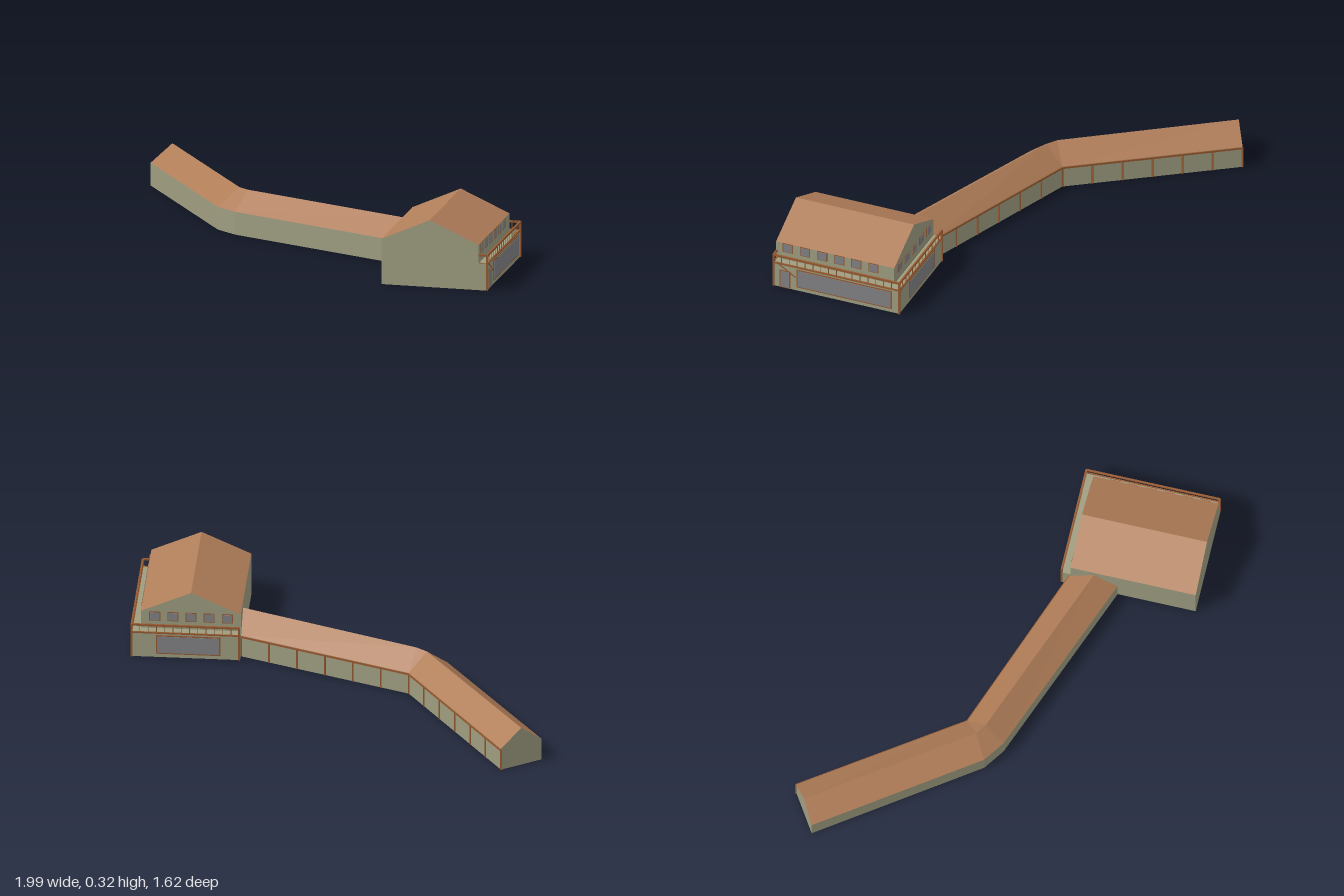
import * as THREE from 'three';

const mat = (name, color, side = THREE.FrontSide) => {
  const m = new THREE.MeshStandardMaterial({ color, side });
  m.name = name;
  return m;
};

export function createModel() {
  const root = new THREE.Group();
  root.name = 'hallWithLongWing';
  const wall = mat('wall olive', 0x9e9d80, THREE.DoubleSide);
  const roof = mat('roof brown', 0xb07d58, THREE.DoubleSide);
  const trim = mat('timber', 0x96592f);
  const glass = mat('glass grey', 0x828286);
  const paving = mat('floor grey', 0xd0d0d0, THREE.DoubleSide);

  // Flat convex polygons, each given by its corners
  function faces(name, material, polys, parent) {
    const pos = [];
    for (const p of polys)
      for (let i = 1; i < p.length - 1; i++) pos.push(...p[0], ...p[i], ...p[i + 1]);
    const g = new THREE.BufferGeometry();
    g.setAttribute('position', new THREE.Float32BufferAttribute(pos, 3));
    g.computeVertexNormals();
    const m = new THREE.Mesh(g, material);
    m.name = name;
    parent.add(m);
  }
  function box(name, material, [x0, y0, z0], [x1, y1, z1], parent) {
    const m = new THREE.Mesh(new THREE.BoxGeometry(x1 - x0, y1 - y0, z1 - z0), material);
    m.position.set((x0 + x1) / 2, (y0 + y1) / 2, (z0 + z1) / 2);
    m.name = name;
    parent.add(m);
  }
  // Square timber between two points
  function bar(name, a, b, t, parent) {
    const p = new THREE.Vector3(...a), q = new THREE.Vector3(...b);
    const m = new THREE.Mesh(new THREE.BoxGeometry(t, t, p.distanceTo(q)), trim);
    m.position.copy(p).lerp(q, 0.5);
    m.lookAt(q);
    m.name = name;
    parent.add(m);
  }
  // Framed plates on walls facing +x or -z
  function windowX(name, x, z0, z1, y0, y1, f, parent) {
    box(name + 'Frame', trim, [x - 0.002, y0 - f, z0 - f], [x + 0.002, y1 + f, z1 + f], parent);
    box(name, glass, [x - 0.002, y0, z0], [x + 0.004, y1, z1], parent);
  }
  function windowZ(name, z, x0, x1, y0, y1, f, parent) {
    box(name + 'Frame', trim, [x0 - f, y0 - f, z - 0.002], [x1 + f, y1 + f, z + 0.002], parent);
    box(name, glass, [x0, y0, z - 0.004], [x1, y1, z + 0.002], parent);
  }

  // Long bent wing
  const wing = new THREE.Group();
  wing.name = 'wing';
  root.add(wing);
  const E = 0.11, R = 0.195;
  const at = (p, y) => [p[0], y, p[1]];
  const outer = [[-1, -0.69], [-0.5, 0.02], [-0.4, 0.09], [0.48, 0.43]];
  const ridge = [[-0.91, -0.748], [-0.41, -0.04], [-0.36, -0.005], [0.48, 0.317]];
  const inner = [[-0.82, -0.806], [-0.33, -0.1], [-0.33, -0.1], [0.48, 0.2]];
  const wallPolys = [], roofPolys = [], floorPolys = [];
  for (let i = 0; i < 3; i++) {
    const j = i + 1;
    wallPolys.push([at(outer[i], 0), at(outer[j], 0), at(outer[j], E), at(outer[i], E)]);
    roofPolys.push([at(outer[i], E), at(outer[j], E), at(ridge[j], R), at(ridge[i], R)]);
    if (i === 1) {
      roofPolys.push([at(inner[1], E), at(ridge[1], R), at(ridge[2], R)]);
      continue;
    }
    wallPolys.push([at(inner[j], 0), at(inner[i], 0), at(inner[i], E), at(inner[j], E)]);
    roofPolys.push([at(inner[j], E), at(inner[i], E), at(ridge[i], R), at(ridge[j], R)]);
    floorPolys.push([at(outer[i], 0), at(inner[i], 0), at(inner[j], 0), at(outer[j], 0)]);
    // Posts and eave beam on the inner wall
    const a = inner[i], b = inner[j];
    bar('eaveBeam', at(a, E - 0.006), at(b, E - 0.006), 0.009, wing);
    for (let k = 0; k <= 6; k++) {
      const p = [a[0] + (b[0] - a[0]) * k / 6, a[1] + (b[1] - a[1]) * k / 6];
      bar('wingPost', at(p, 0), at(p, E - 0.004), 0.008, wing);
    }
  }
  wallPolys.push([at(outer[0], 0), at(outer[0], E), at(ridge[0], R), at(inner[0], E), at(inner[0], 0)]);
  faces('wingWalls', wall, wallPolys, wing);
  faces('wingRoof', roof, roofPolys, wing);
  faces('wingFloor', paving, floorPolys, wing);

  // Main hall: lower storey and gabled upper storey
  const hall = new THREE.Group();
  hall.name = 'hall';
  root.add(hall);
  const L = 0.482, M = 0.715, W = 0.95, X = 0.99, B = 0.162, U = 0.205, F = 0.805;
  const H = 0.13, T = 0.218, A = 0.323, rail = 0.168;
  box('lowerStorey', wall, [L, 0, B], [X, H, F], hall);
  const gable = z => [[L, H, z], [W, H, z], [W, T, z], [M, A, z], [L, T, z]];
  faces('upperWalls', wall, [
    gable(F), gable(U).reverse(),
    [[W, H, F], [W, H, U], [W, T, U], [W, T, F]],
    [[L, H, U], [L, H, F], [L, T, F], [L, T, U]],
  ], hall);
  faces('hallRoof', roof, [
    [[L, T, F], [M, A, F], [M, A, U], [L, T, U]],
    [[M, A, F], [W, T, F], [W, T, U], [M, A, U]],
  ], hall);

  // Windows and door
  windowX('sideWindow', X, 0.205, 0.678, 0.024, 0.11, 0.006, hall);
  windowX('door', X, 0.72, 0.765, 0.005, 0.09, 0.005, hall);
  windowZ('backWindow', B, 0.58, 0.87, 0.024, 0.11, 0.006, hall);
  for (let i = 0; i < 6; i++) {
    const z = 0.31 + i * 0.087;
    windowX('upperSideWindow', W, z - 0.022, z + 0.022, 0.174, 0.214, 0.004, hall);
  }
  for (let i = -2; i <= 2; i++) {
    const x = M + i * 0.085;
    windowZ('upperBackWindow', U, x - 0.022, x + 0.022, 0.174, 0.214, 0.004, hall);
  }

  // Balcony railing round the side and back
  const corners = [[W, F - 0.004], [X, F - 0.004], [X, B], [L + 0.004, B]];
  const spans = [1, 16, 13];
  for (let i = 0; i < 3; i++) {
    const a = corners[i], b = corners[i + 1];
    bar('topRail', at(a, rail), at(b, rail), 0.009, hall);
    bar('balconyEdge', at(a, H - 0.002), at(b, H - 0.002), 0.007, hall);
    for (let k = 1; k < spans[i]; k++) {
      const t = k / spans[i];
      const p = [a[0] + (b[0] - a[0]) * t, a[1] + (b[1] - a[1]) * t];
      bar('baluster', at(p, H), at(p, rail), 0.003, hall);
    }
    bar('cornerPost', at(b, 0), at(b, rail), 0.009, hall);
  }
  bar('frontPost', [X, 0, F - 0.004], [X, rail, F - 0.004], 0.009, hall);
  bar('brace', [X, 0.125, 0.775], [X, 0.07, 0.688], 0.005, hall);
  return root;
}
